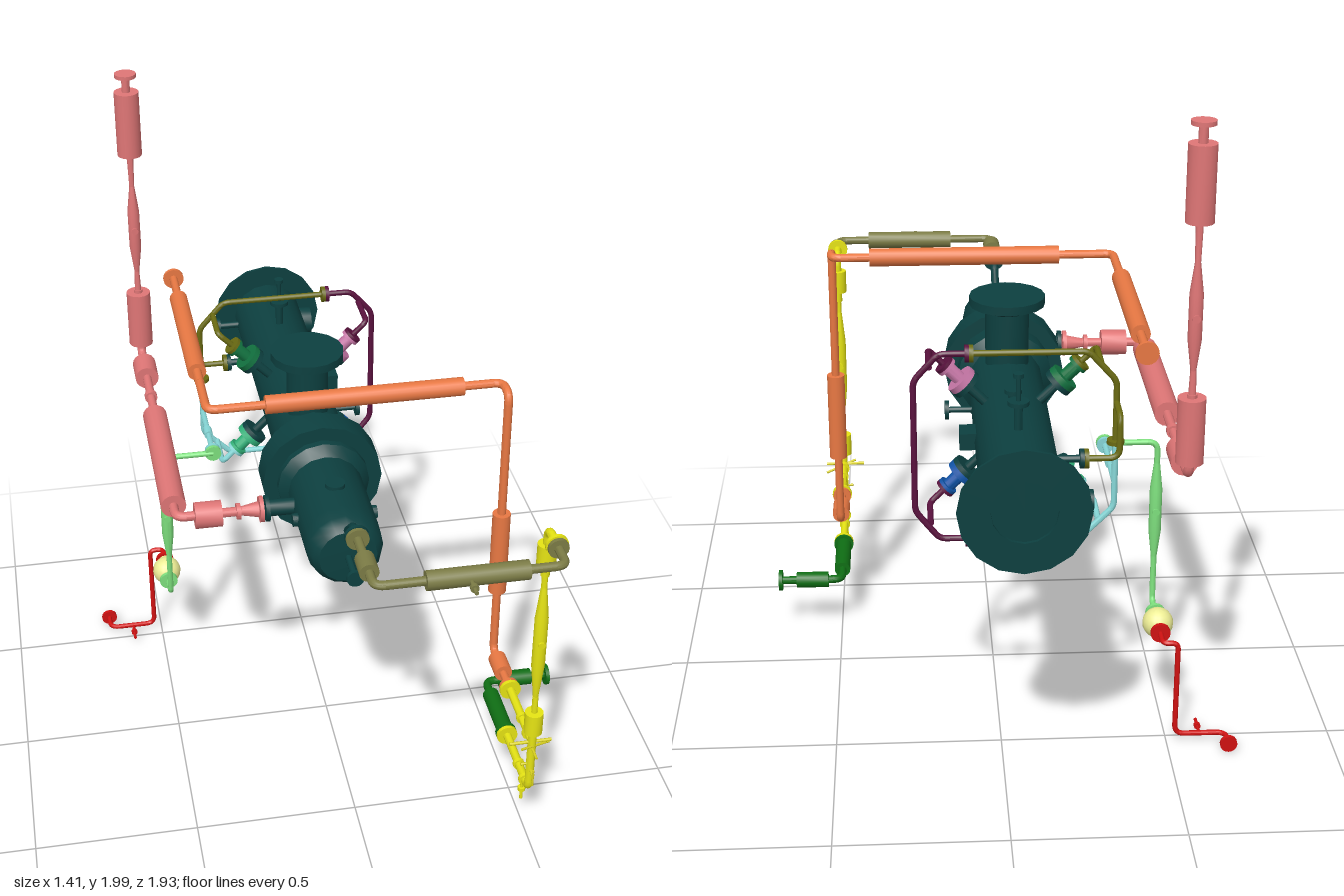
import * as THREE from 'three';
import { toCreasedNormals, mergeGeometries } from 'three/addons/utils/BufferGeometryUtils.js';

const V = (p) => new THREE.Vector3(...p);
const UP = new THREE.Vector3(0, 1, 0);

// Cylinder or cone from point a to point b
function rod(a, b, r, r2 = r, sides = 14) {
  const p = V(a), q = V(b), d = q.clone().sub(p), mid = p.clone().add(q).multiplyScalar(0.5);
  const g = new THREE.CylinderGeometry(r2, r, d.length(), sides);
  g.applyQuaternion(new THREE.Quaternion().setFromUnitVectors(UP, d.normalize()));
  return g.translate(mid.x, mid.y, mid.z);
}

// Straight runs joined by rounded elbows
function pipe(points, r, bend = 0.03) {
  const pts = points.map(V), out = [];
  let start = pts[0];
  for (let i = 1; i < pts.length; i++) {
    const p = pts[i], last = i === pts.length - 1;
    if (last) { out.push(rod(start.toArray(), p.toArray(), r)); break; }
    const back = pts[i - 1].clone().sub(p), on = pts[i + 1].clone().sub(p);
    const k = Math.min(bend, back.length() * 0.45, on.length() * 0.45);
    const e1 = p.clone().add(back.setLength(k)), e2 = p.clone().add(on.setLength(k));
    out.push(rod(start.toArray(), e1.toArray(), r));
    out.push(new THREE.TubeGeometry(new THREE.QuadraticBezierCurve3(e1, p, e2), 6, r, 14));
    start = e2;
  }
  return out;
}

// Point moved along one axis
const shift = (p, axis, d) => p.map((v, i) => (i === axis ? v + d : v));
// Flange disc centred at p, facing an axis (0 x, 1 y, 2 z)
const flange = (p, axis, r = 0.03, t = 0.012) => rod(shift(p, axis, -t / 2), shift(p, axis, t / 2), r, r, 16);
// Lagging sleeve between two values along an axis
const sleeve = (p, axis, from, to, r = 0.028) => {
  const at = (v) => p.map((c, i) => (i === axis ? v : c));
  return rod(at(from), at(to), r, r, 16);
};
// Vertical double-tapered meter with a small boss
const spindle = (x, z, y0, y1, r) => {
  const h = y1 - y0, a = y0 + h * 0.3, b = y1 - h * 0.3, m = (y0 + y1) / 2;
  return [rod([x, y0, z], [x, a, z], 0.007, r), rod([x, a, z], [x, b, z], r),
    rod([x, b, z], [x, y1, z], r, 0.007), rod([x, m, z - r - 0.004], [x, m, z + r + 0.004], 0.011)];
};

export function createModel() {
  const model = new THREE.Group();
  const add = (name, color, geos) => {
    const g = toCreasedNormals(mergeGeometries(geos.flat(Infinity).map((s) => s.toNonIndexed())), 0.55);
    const mesh = new THREE.Mesh(g, new THREE.MeshStandardMaterial({ color, side: THREE.DoubleSide }));
    mesh.name = name;
    model.add(mesh);
  };
  const CX = -0.035, CY = 1.01, DARK = 0x0d4040;

  // Horizontal vessel: end plate, shell, girth flange and dished head
  const profile = [[0, -0.955], [0.09, -0.955], [0.09, -0.965], [0.18, -0.965], [0.18, -0.955],
    [0.113, -0.955], [0.113, -0.06], [0.145, -0.03], [0.145, 0.037], [0.183, 0.037], [0.183, 0.127],
    [0.14, 0.127], [0.14, 0.15], [0.113, 0.18], [0.113, 0.44], [0.111, 0.49], [0.1, 0.52], [0.085, 0.535], [0, 0.54]];
  const shell = new THREE.LatheGeometry(profile.map(([r, z]) => new THREE.Vector2(r, z)), 16);
  shell.rotateX(Math.PI / 2).translate(CX, CY, 0);
  add('vesselShell', DARK, [shell]);

  // Large top nozzle
  add('topNozzle', DARK, [rod([CX, 1.05, -0.135], [CX, 1.27, -0.135], 0.065, 0.065, 16),
    rod([CX, 1.27, -0.135], [CX, 1.29, -0.135], 0.065, 0.1, 16), flange([CX, 1.303, -0.135], 1, 0.113, 0.026)]);

  // Small flanged nozzles: axis, signed reach from the vessel axis, z, radius, flange radius
  const stubs = [[1, 0.27, -0.675, 0.007, 0.015], [1, 0.19, -0.675, 0.012, 0.03], [1, 0.13, -0.45, 0.015, 0.025],
    [1, -0.28, -0.675, 0.007, 0.015], [1, -0.19, -0.675, 0.012, 0.03], [1, -0.14, -0.095, 0.014, 0.025],
    [1, -0.21, -0.14, 0.01, 0.03], [1, -0.18, -0.2, 0.01, 0.025], [1, -0.2, -0.32, 0.011, 0.025],
    [0, -0.18, -0.635, 0.011, 0.028], [0, -0.18, -0.895, 0.011, 0.028], [0, 0.185, -0.275, 0.009, 0.028],
    [0, 0.14, -0.11, 0.016, 0.02], [0, 0.12, 0.325, 0.02, 0.02], [0, -0.12, 0.325, 0.02, 0.02],
    [0, -0.19, 0.25, 0.025, 0.04], [1, 0.115, 0.33, 0.02, 0.03], [1, -0.115, 0.33, 0.02, 0.03]];
  add('smallNozzles', DARK, stubs.map(([ax, d, z, r, fr]) => {
    const tip = shift([CX, CY, z], ax, d);
    return [rod(shift([CX, CY, z], ax, Math.sign(d) * 0.09), tip, r), flange(tip, ax, fr)];
  }));
  add('drainBranches', DARK, [pipe([[CX, 0.83, -0.32], [CX, 0.76, -0.32], [CX, 0.76, -0.23]], 0.008),
    pipe([[CX, 0.86, -0.2], [CX, 0.82, -0.2], [CX, 0.82, -0.14]], 0.008), flange([CX, 0.76, -0.23], 2, 0.02)]);
  add('headNozzles', DARK, [rod([CX, CY, 0.52], [CX, CY, 0.645], 0.01), flange([CX, CY, 0.64], 2, 0.025),
    pipe([[CX, 1.07, 0.5], [CX, 1.16, 0.6], [CX, 1.16, 0.65]], 0.013), flange([CX, 1.16, 0.65], 2, 0.035)]);
  add('sideHatches', DARK, [rod([0.06, CY, -0.885], [0.105, CY, -0.885], 0.045, 0.045, 16),
    new THREE.BoxGeometry(0.06, 0.05, 0.07).translate(0.09, CY, -0.475)]);

  // Orange line around the vessel
  const OX = 0.495;
  add('orangeLine', 0xe87843, [
    pipe([[-0.385, 1.33, -0.66], [-0.385, 1.33, 0.19], [OX, 1.33, 0.19], [OX, 1.33, 0.26], [OX, 0.385, 0.26], [OX, 0.385, 0.45]], 0.013),
    flange([-0.385, 1.33, -0.657], 2, 0.033), flange([OX, 0.385, 0.448], 2, 0.03),
    sleeve([-0.385, 1.33, 0], 2, -0.515, 0.035 - 0.07), sleeve([-0.385, 1.33, 0], 2, -0.04, 0.03, 0.014),
    sleeve([0, 1.33, 0.19], 0, -0.215, 0.375),
    sleeve([OX, 0, 0.26], 1, 0.62, 0.91), sleeve([OX, 0.385, 0], 2, 0.305, 0.385)]);

  // Olive line from the dished head
  add('headLine', 0x7c7c46, [pipe([[CX, 1.16, 0.66], [CX, 1.16, 0.885], [OX, 1.16, 0.885], [OX, 1.16, 0.8]], 0.013),
    flange([CX, 1.16, 0.663], 2, 0.033), flange([OX, 1.16, 0.805], 2, 0.03),
    sleeve([CX, 1.16, 0], 2, 0.755, 0.825), sleeve([0, 1.16, 0.885], 0, 0.105, 0.39),
    rod([0.225, 1.16, 0.885], [0.225, 1.16, 0.965], 0.006), flange([0.225, 1.16, 0.94], 2, 0.012)]);

  // Yellow riser with meter, lower loop and valves
  const YZ = 0.71;
  add('yellowRiser', 0xe6e414, [
    pipe([[OX, 1.16, 0.79], [OX, 1.16, YZ], [OX, 1.0, YZ]], 0.013), flange([OX, 1.16, 0.79], 2, 0.033),
    sleeve([OX, 0, YZ], 1, 1.035, 1.11), rod([OX, 0.95, YZ], [OX, 1.04, YZ], 0.009), spindle(OX, YZ, 0.55, 0.98, 0.02),
    rod([OX, 0.48, YZ], [OX, 0.56, YZ], 0.009), sleeve([OX, 0, YZ], 1, 0.425, 0.5),
    pipe([[OX, 0.45, YZ], [OX, 0.2, YZ], [OX, 0.2, 0.46]], 0.013), rod([OX, 0.385, YZ], [OX, 0.385, 0.46], 0.013),
    [0.385, 0.2].map((y) => [flange([OX, y, 0.463], 2, 0.033), flange([OX, y, 0.6], 2, 0.018), flange([OX, y, 0.67], 2, 0.02)]),
    rod([OX, 0.2, 0.645], [OX, 0.1, 0.645], 0.005), flange([OX, 0.14, 0.645], 1, 0.012)]);
  add('valveHandles', 0xd8d020, [rod([OX - 0.07, 0.385, YZ], [OX + 0.06, 0.385, YZ], 0.005),
    rod([OX, 0.365, YZ - 0.02], [OX, 0.365, YZ + 0.055], 0.004), rod([OX, 0.28, YZ], [OX, 0.28, YZ + 0.035], 0.005),
    rod([OX, 0.24, YZ + 0.035], [OX, 0.3, YZ + 0.035], 0.003), rod([OX - 0.03, 0.3, YZ], [OX, 0.3, YZ], 0.004),
    rod([OX - 0.04, 0.385, 0.74], [OX + 0.06, 0.36, 0.69], 0.004)]);

  // Green outlet
  add('greenOutlet', 0x0f6e14, [pipe([[OX, 0.2, 0.45], [OX, 0.2, 0.195], [0.7, 0.2, 0.195]], 0.013),
    flange([OX, 0.2, 0.448], 2, 0.033), flange([0.698, 0.2, 0.195], 0, 0.034),
    sleeve([OX, 0.2, 0], 2, 0.26, 0.44, 0.026), sleeve([0, 0.2, 0.195], 0, 0.54, 0.645, 0.026)]);

  // Pink line and tall stack
  const PX = -0.495, PZ = -0.757;
  add('pinkLine', 0xdf7676, [
    pipe([[-0.235, CY, 0.25], [PX, CY, 0.25], [PX, CY, PZ], [PX, 1.25, PZ]], 0.014),
    flange([-0.242, CY, 0.25], 0, 0.04), rod([-0.25, CY, 0.25], [-0.3, CY, 0.25], 0.024, 0.014), flange([-0.31, CY, 0.25], 0, 0.025),
    sleeve([0, CY, 0.25], 0, -0.44, -0.36, 0.04), sleeve([PX, CY, 0], 2, -0.34, 0.19, 0.038),
    sleeve([PX, CY, 0], 2, -0.68, -0.58, 0.038), flange([PX, CY, -0.46], 2, 0.02, 0.02)]);
  add('pinkStack', 0xdf7676, [sleeve([PX, 0, PZ], 1, 1.05, 1.24, 0.039), rod([PX, 1.24, PZ], [PX, 1.32, PZ], 0.011, 0.008),
    spindle(PX, PZ, 1.31, 1.63, 0.019), rod([PX, 1.62, PZ], [PX, 1.74, PZ], 0.008, 0.011),
    sleeve([PX, 0, PZ], 1, 1.73, 1.94, 0.039), rod([PX, 1.94, PZ], [PX, 2, PZ], 0.013), flange([PX, 1.994, PZ], 1, 0.034)]);

  // Pale green feed, pump and red suction line
  add('paleGreenFeed', 0x7ee07e, [pipe([[-0.32, 0.89, -0.27], [-0.48, 0.89, -0.27], [-0.48, 0.8, -0.27]], 0.009),
    flange([-0.32, 0.89, -0.27], 2, 0.026), spindle(-0.48, -0.27, 0.49, 0.84, 0.019),
    pipe([[-0.48, 0.52, -0.27], [-0.48, 0.35, -0.27], [-0.48, 0.35, -0.36]], 0.009), flange([-0.48, 0.35, -0.345], 2, 0.03)]);
  add('pump', 0xeeee96, [new THREE.SphereGeometry(0.047, 16, 12).translate(-0.48, 0.35, -0.405),
    rod([-0.48, 0.35, -0.35], [-0.48, 0.35, -0.46], 0.022)]);
  const RZ = -0.53;
  add('redLine', 0xd01212, [
    pipe([[-0.48, 0.35, -0.46], [-0.48, 0.35, RZ], [-0.525, 0.35, RZ], [-0.525, 0.035, RZ], [-0.68, 0.035, RZ], [-0.68, 0.035, -0.595]], 0.008),
    flange([-0.48, 0.35, -0.467], 2, 0.03), flange([-0.68, 0.035, -0.592], 2, 0.026),
    rod([-0.6, 0.035, RZ], [-0.6, 0.035, -0.455], 0.005), flange([-0.6, 0.035, -0.49], 2, 0.01)]);

  // Ring main around the vessel
  const Z = -0.535, ring = (pts, r = 0.009) => pipe(pts.map(([x, y]) => [x, y, Z]), r, 0.02);
  add('ringUpperRight', 0x5a123e, [ring([[0.1, 1.29], [0.18, 1.29], [0.25, 1.21], [0.25, 0.81], [0.18, 0.72], [0.1, 0.72]]),
    flange([0.1, 1.29, Z], 0, 0.025), flange([0.1, 0.72, Z], 0, 0.025)]);
  add('ringUpperLeft', 0x6a6a12, [ring([[0.09, 1.29], [-0.24, 1.29], [-0.32, 1.2], [-0.32, 1.01]]), flange([0.088, 1.29, Z], 0, 0.025),
    pipe([[-0.32, 1.135, Z], [-0.32, 1.135, -0.635], [-0.32, CY, -0.635], [-0.225, CY, -0.635]], 0.009),
    flange([-0.228, CY, -0.635], 0, 0.028), flange([-0.32, 1.015, Z], 1, 0.025)]);
  add('ringLowerLeft', 0x86d6d6, [ring([[0.09, 0.72], [-0.23, 0.72], [-0.32, 0.81], [-0.32, 1.0]]), flange([0.088, 0.72, Z], 0, 0.025),
    rod([-0.32, 0.89, Z], [-0.32, 0.89, -0.275], 0.009), sleeve([-0.32, 0.89, 0], 2, -0.42, -0.38, 0.014),
    flange([-0.32, 0.89, -0.285], 2, 0.025)]);

  // Four diagonal injectors tied to the ring
  const injectors = [['upperRight', 1, 1, 0xc878a8, 0x5a123e], ['lowerRight', 1, -1, 0x1054a8, 0x5a123e],
    ['upperLeft', -1, 1, 0x127240, 0x6a6a12], ['lowerLeft', -1, -1, 0x30b078, 0x86d6d6]];
  for (const [name, sx, sy, color, lineColor] of injectors) {
    const at = (d, z = -0.4) => [CX + sx * d * Math.SQRT1_2, CY + sy * d * Math.SQRT1_2, z];
    add(name + 'InjectorNozzle', DARK, [rod(at(0.09), at(0.19), 0.014), rod(at(0.18), at(0.196), 0.045)]);
    add(name + 'Injector', color, [rod(at(0.196), at(0.215), 0.045), rod(at(0.215), at(0.26), 0.02), rod(at(0.26), at(0.27), 0.03)]);
    add(name + 'Branch', lineColor, [pipe([at(0.27), at(0.34), at(0.34, Z)], 0.009, 0.02), rod(at(0.27), at(0.28), 0.03)]);
  }
  return model;
}
